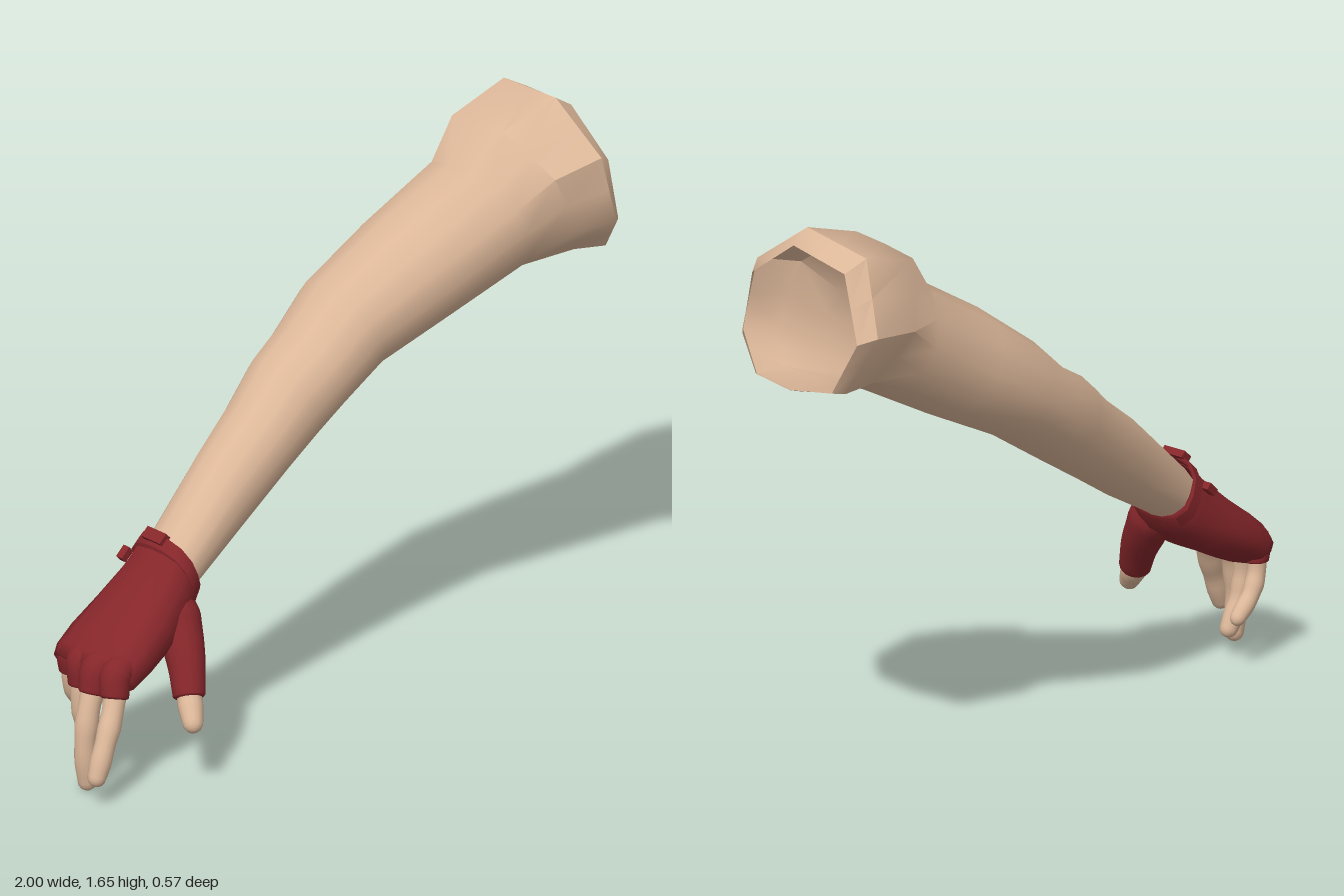
import * as THREE from 'three';
import { toCreasedNormals } from 'three/addons/utils/BufferGeometryUtils.js';

const skin = new THREE.MeshStandardMaterial({ color: 0xdcb799, side: THREE.DoubleSide });
skin.name = 'skin';
const red = new THREE.MeshStandardMaterial({ color: 0x85262a, side: THREE.DoubleSide });
red.name = 'glove red';

// Uneven octagon of the sleeve opening as (z, height) pairs, with edge midpoints added
const corners = [[0.28, 0.99], [-0.64, 0.86], [-0.98, -0.05], [-0.63, -0.83],
  [0.1, -1], [0.7, -0.95], [1, -0.47], [0.94, 0.42]];
const outline = corners.flatMap((c, i) => {
  const n = corners[(i + 1) % 8];
  return [c, [(c[0] + n[0]) / 2, (c[1] + n[1]) / 2]];
});

// Ring between a top point and a bottom point (x, y), spanning zMin to zMax.
// round 0 = octagon, 1 = superellipse of the given power; skew slants it along z.
function section([tx, ty, bx, by, zMin, zMax, round = 1, skew = 0], power = 2.1) {
  return outline.map(([w, u]) => {
    const len = (Math.abs(w) ** power + Math.abs(u) ** power) ** (1 / power);
    const pw = THREE.MathUtils.lerp(w, w / len, round);
    const pu = THREE.MathUtils.lerp(u, u / len, round);
    const z = (zMin + zMax) / 2 + pw * (zMax - zMin) / 2;
    return new THREE.Vector3((tx + bx) / 2 + pu * (tx - bx) / 2 + skew * z,
      (ty + by) / 2 + pu * (ty - by) / 2, z);
  });
}

// Skin a list of equal rings, optionally closing the far end
function loft(rings, capEnd = false) {
  const n = rings[0].length;
  const pos = rings.flat().flatMap(p => [p.x, p.y, p.z]);
  const index = [];
  for (let i = 0; i < rings.length - 1; i++) {
    for (let j = 0; j < n; j++) {
      const a = i * n + j, b = i * n + (j + 1) % n;
      index.push(a, b, a + n, b, b + n, a + n);
    }
  }
  if (capEnd) {
    const last = rings[rings.length - 1];
    const c = last.reduce((s, p) => s.add(p), new THREE.Vector3()).divideScalar(n);
    pos.push(c.x, c.y, c.z);
    const base = (rings.length - 1) * n;
    for (let j = 0; j < n; j++) index.push(base + j, base + (j + 1) % n, base + n);
  }
  const g = new THREE.BufferGeometry();
  g.setAttribute('position', new THREE.Float32BufferAttribute(pos, 3));
  g.setIndex(index);
  g.computeVertexNormals();
  return g;
}

// Tapered tube along a path; a round tip is added when tip is true
function limb(points, radii, tip, sides = 14, steps = 14) {
  const curve = new THREE.CatmullRomCurve3(points.map(p => new THREE.Vector3(...p)));
  const rings = [];
  const addRing = (c, t, r) => {
    const nrm = new THREE.Vector3(0, 0, 1).cross(t).normalize();
    const bin = t.clone().cross(nrm);
    rings.push(Array.from({ length: sides }, (_, j) => {
      const a = j / sides * Math.PI * 2;
      return c.clone().addScaledVector(nrm, Math.cos(a) * r).addScaledVector(bin, Math.sin(a) * r);
    }));
  };
  for (let i = 0; i <= steps; i++) {
    const f = i / steps * (radii.length - 1), k = Math.min(Math.floor(f), radii.length - 2);
    addRing(curve.getPoint(i / steps), curve.getTangent(i / steps),
      THREE.MathUtils.lerp(radii[k], radii[k + 1], f - k));
  }
  const end = curve.getPoint(1), dir = curve.getTangent(1), r = radii[radii.length - 1];
  const bulge = tip ? 1 : 0.25;
  for (const a of [0.4, 0.8, 1.15, 1.4]) {
    addRing(end.clone().addScaledVector(dir, Math.sin(a) * r * bulge), dir, Math.cos(a) * r);
  }
  return loft(rings, true);
}

export function createModel() {
  const model = new THREE.Group();
  const add = (name, geometry, material, parent = model) => {
    const m = new THREE.Mesh(geometry, material);
    m.name = name;
    parent.add(m);
    return m;
  };

  // Arm: open flared upper end, elbow, forearm, wrist tucked into the glove
  const armRings = [
    [0.925, 1.625, 0.985, 1.215, -0.245, 0.26, 0, -0.14],
    [0.86, 1.665, 0.96, 1.207, -0.28, 0.285, 0, -0.1],
    [0.66, 1.61, 0.85, 1.21, -0.255, 0.25, 0.15],
    [0.58, 1.49, 0.72, 1.165, -0.24, 0.18, 0.8],
    [0.35, 1.35, 0.5, 1.05, -0.27, 0.115],
    [0.16, 1.21, 0.28, 0.945, -0.29, 0.045],
    [0.03, 1.10, 0.14, 0.86, -0.267, 0.036],
    [-0.07, 1.045, 0.03, 0.795, -0.245, 0.04],
    [-0.18, 0.95, -0.10, 0.72, -0.213, 0.045],
    [-0.34, 0.84, -0.27, 0.62, -0.17, 0.06],
    [-0.565, 0.65, -0.48, 0.51, -0.12, 0.085],
    [-0.62, 0.585, -0.54, 0.465, -0.115, 0.085],
  ].map(s => section(s));
  add('arm', toCreasedNormals(loft(armRings), 0.75), skin);

  // Glove body from the wrist hem to the knuckles
  const glove = new THREE.Group();
  glove.name = 'glove';
  model.add(glove);
  const gloveRings = [
    [-0.57, 0.652, -0.50, 0.51, -0.12, 0.086],
    [-0.562, 0.665, -0.49, 0.497, -0.132, 0.097],
    [-0.62, 0.607, -0.53, 0.44, -0.135, 0.11],
    [-0.72, 0.523, -0.62, 0.375, -0.15, 0.14],
    [-0.81, 0.457, -0.72, 0.33, -0.155, 0.16],
    [-0.868, 0.41, -0.79, 0.295, -0.15, 0.16],
    [-0.886, 0.375, -0.82, 0.295, -0.14, 0.15],
  ].map(s => section(s, 2.8));
  add('palm', loft(gloveRings, true), red, glove);

  // Wrist strap with its two fastening tabs
  const strapRings = [
    [-0.563, 0.662, -0.49, 0.5, -0.13, 0.095],
    [-0.565, 0.674, -0.492, 0.492, -0.14, 0.102],
    [-0.592, 0.647, -0.515, 0.463, -0.142, 0.106],
    [-0.592, 0.632, -0.515, 0.478, -0.13, 0.095],
  ].map(s => section(s, 2.5));
  add('wristStrap', toCreasedNormals(loft(strapRings), 0.7), red, glove);
  for (const [x, y, z, w, d] of [[-0.572, 0.668, -0.03, 0.035, 0.08], [-0.59, 0.585, -0.143, 0.04, 0.025]]) {
    const tab = add('strapTab', new THREE.BoxGeometry(w, 0.022, d), red, glove);
    tab.position.set(x, y, z);
    tab.rotation.z = 0.75;
  }

  // Fingers, each leaving a short glove sleeve at the knuckle
  const fingers = {
    index: [0.034, [[-0.85, 0.35, 0.115], [-0.885, 0.27, 0.14], [-0.932, 0.18, 0.158], [-0.968, 0.095, 0.165]]],
    middle: [0.035, [[-0.86, 0.35, 0.045], [-0.90, 0.26, 0.055], [-0.92, 0.15, 0.06], [-0.912, 0.036, 0.06]]],
    ring: [0.033, [[-0.85, 0.35, -0.03], [-0.86, 0.25, -0.025], [-0.845, 0.17, -0.022], [-0.803, 0.088, -0.02]]],
    little: [0.029, [[-0.83, 0.35, -0.1], [-0.825, 0.27, -0.107], [-0.795, 0.21, -0.112], [-0.74, 0.155, -0.114]]],
  };
  for (const [name, [r, path]] of Object.entries(fingers)) {
    add(name + 'Finger', limb(path, [1, 1, 0.92, 1, 0.88, 0.95, 0.8].map(k => k * r), true), skin);
    const [x, y, z] = path[0];
    const mouth = path[0].map((v, k) => THREE.MathUtils.lerp(v, path[1][k], 0.55));
    add(name + 'Sleeve', limb([[x + 0.04, y + 0.035, z], [x, y + 0.015, z], mouth],
      [0.04, r + 0.014, r + 0.008], false), red, glove);
  }

  // Thumb and its sleeve, splayed toward the front
  add('thumb', limb([[-0.635, 0.31, 0.18], [-0.65, 0.26, 0.205], [-0.675, 0.208, 0.247]],
    [0.036, 0.036, 0.037, 0.03], true), skin);
  add('thumbSleeve', limb([[-0.57, 0.51, 0.045], [-0.585, 0.44, 0.085], [-0.615, 0.35, 0.15], [-0.645, 0.268, 0.197]],
    [0.05, 0.068, 0.062, 0.053, 0.047], false), red, glove);

  return model;
}
